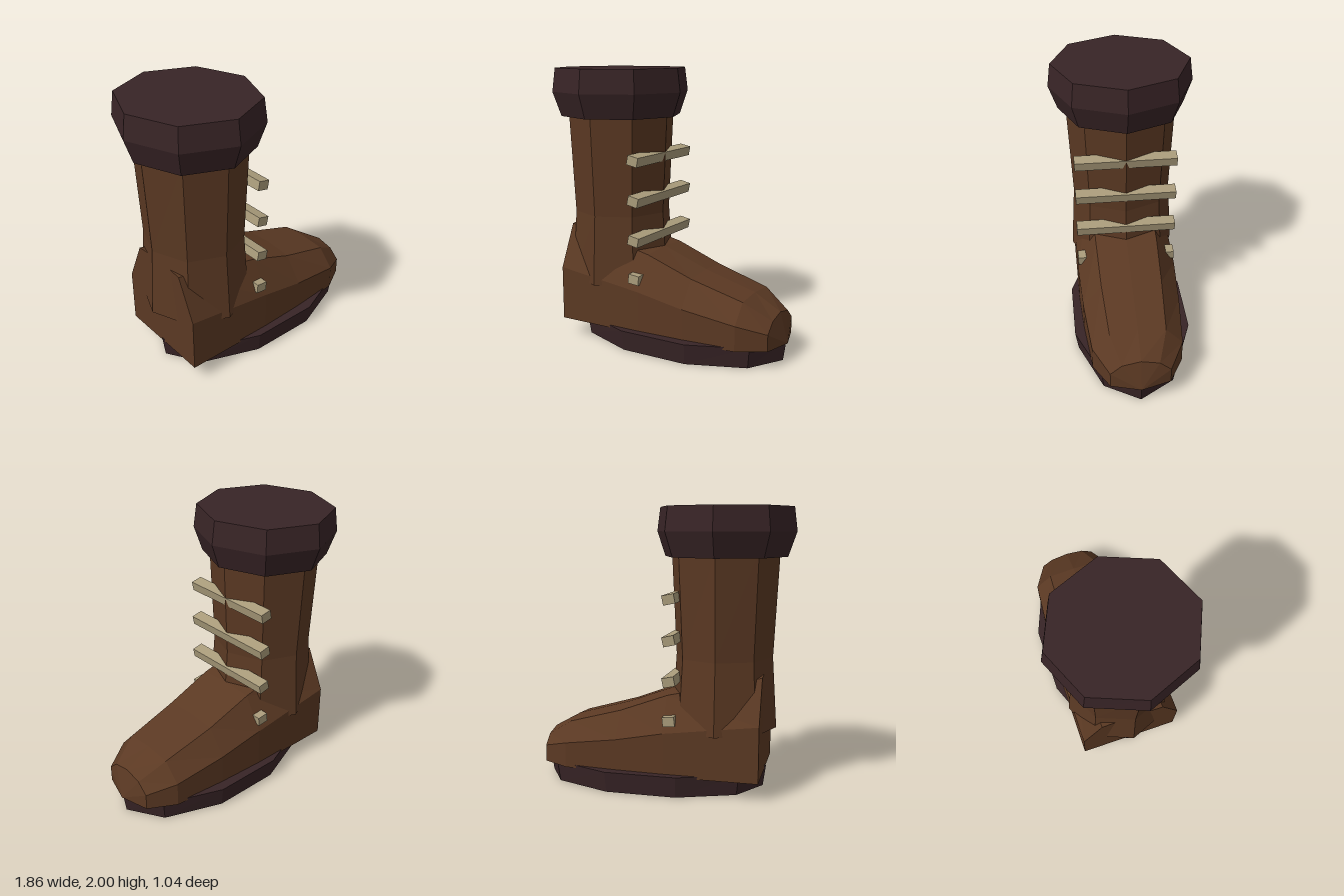
import * as THREE from 'three';

const leather = new THREE.MeshStandardMaterial({ name: 'brown leather', color: 0x5b3923, flatShading: true });
const trim = new THREE.MeshStandardMaterial({ name: 'dark trim', color: 0x382426, flatShading: true });
const cord = new THREE.MeshStandardMaterial({ name: 'tan cord', color: 0xaa9c7b, flatShading: true });

// Closed faceted rings: each ring is [y, x radius, z radius], corners on the x axis
function ringSolid(name, rings, sides, centreX, material) {
  const pos = [], index = [];
  for (const [y, rx, rz] of rings) {
    for (let i = 0; i < sides; i++) {
      const a = (i / sides) * Math.PI * 2;
      pos.push(centreX + rx * Math.cos(a), y, rz * Math.sin(a));
    }
  }
  return loft(name, pos, index, rings.length, sides, material);
}

// Joins rings of points into a solid with capped ends
function loft(name, pos, index, count, n, material) {
  for (let r = 0; r < count - 1; r++) {
    for (let i = 0; i < n; i++) {
      const a = r * n + i, b = r * n + (i + 1) % n;
      index.push(a, a + n, b, b, a + n, b + n);
    }
  }
  const last = (count - 1) * n;
  for (let i = 1; i < n - 1; i++) {
    index.push(0, i, i + 1, last, last + i + 1, last + i);
  }
  const geometry = new THREE.BufferGeometry();
  geometry.setAttribute('position', new THREE.Float32BufferAttribute(pos, 3));
  geometry.setIndex(index);
  const flat = geometry.toNonIndexed();
  flat.computeVertexNormals();
  const mesh = new THREE.Mesh(flat, material);
  mesh.name = name;
  return mesh;
}

// Foot: arched cross-sections from the heel to the pointed toe
function makeFoot() {
  const base = 0.13;
  // x, half width, top height, height of the upper edge as a share of the top
  const sections = [
    [-0.74, 0.375, 0.86, 0.97],
    [-0.07, 0.375, 0.70, 0.97],
    [0.28, 0.36, 0.57, 0.96],
    [0.67, 0.325, 0.46, 0.95],
    [0.865, 0.215, 0.35, 0.87],
    [0.925, 0, 0.13, 1],
  ];
  const pos = [];
  for (const [x, w, top, edge] of sections) {
    const h = top - base;
    const half = [[w, 0], [w, 0.545 * h], [0.62 * w, edge * h]];
    const outline = [...half, [0, h], ...half.map(([z, y]) => [-z, y]).reverse()];
    for (const [z, y] of outline) pos.push(x, base + y, z);
  }
  return loft('foot', pos, [], sections.length, 7, leather);
}

export function createModel() {
  const boot = new THREE.Group();
  boot.name = 'boot';

  boot.add(ringSolid('sole', [[0, 0.812, 0.432], [0.15, 0.833, 0.455]], 10, 0.082, trim));
  boot.add(makeFoot());
  boot.add(ringSolid('shaft', [[0.44, 0.383, 0.4], [0.95, 0.35, 0.37], [1.7, 0.387, 0.405]], 8, -0.435, leather));
  boot.add(ringSolid('cuff', [[1.655, 0.437, 0.46], [1.83, 0.497, 0.522], [2, 0.475, 0.5]], 8, -0.437, trim));

  // Laces across the front of the shaft
  for (const [y, tilt] of [[0.525, -0.1], [0.805, -0.2], [1.09, -0.22], [1.375, -0.2]]) {
    const lace = new THREE.Mesh(new THREE.BoxGeometry(0.085, 0.068, 0.74), cord);
    lace.name = 'lace';
    lace.position.set(-0.11, y, 0);
    lace.rotation.z = tilt;
    boot.add(lace);
  }
  return boot;
}
